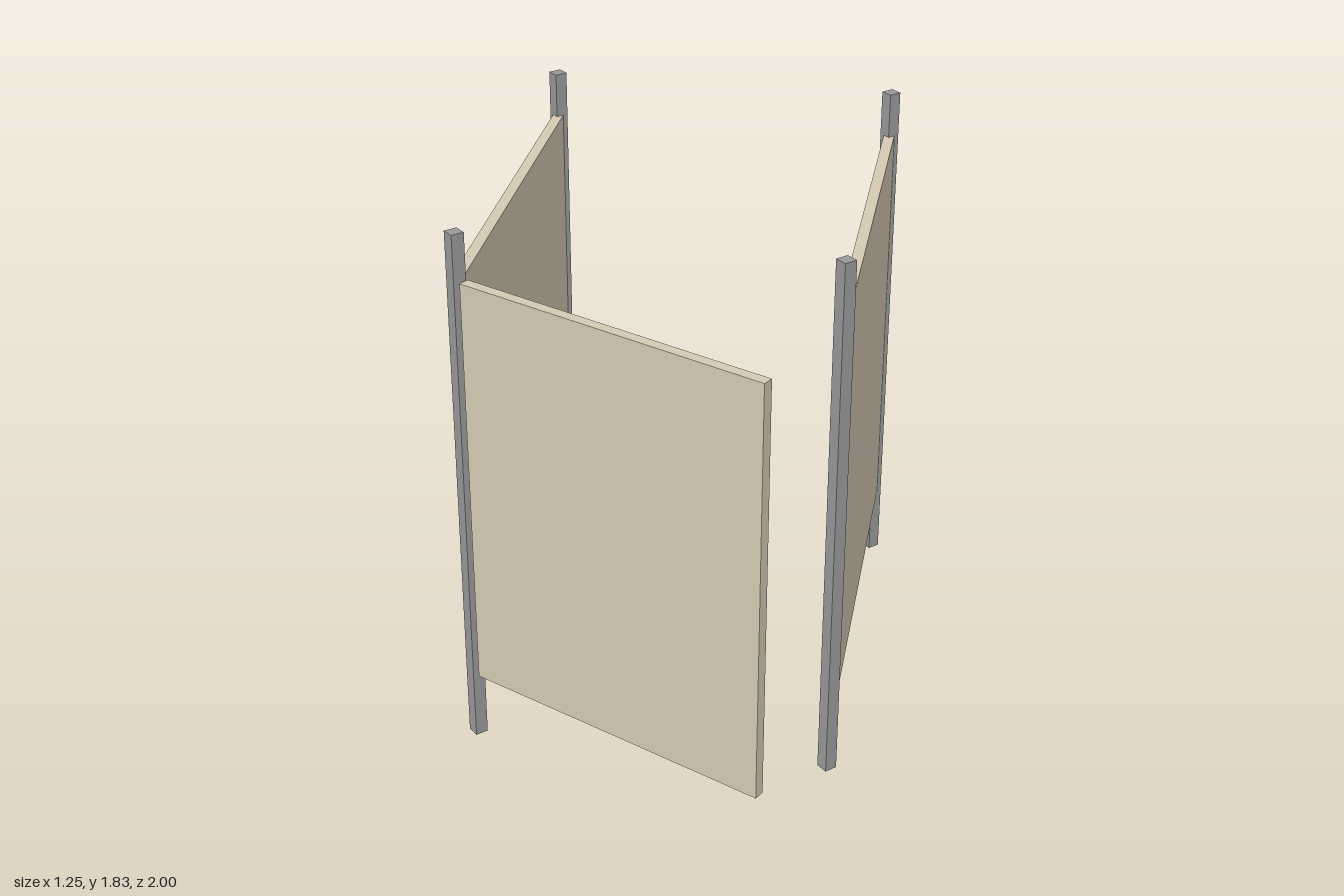
import * as THREE from 'three';

export function createModel() {
  const group = new THREE.Group();
  const panelMat = new THREE.MeshStandardMaterial({ color: 0xd4c9b3 });
  panelMat.name = 'beige panel';
  const postMat = new THREE.MeshStandardMaterial({ color: 0x999999, flatShading: true });
  postMat.name = 'grey metal';

  const postX = 0.592, postHeight = 1.83, postRadius = 0.031;
  const panelBottom = 0.245, panelHeight = 1.43, thickness = 0.037;

  function add(name, geometry, material, x, y, z) {
    const mesh = new THREE.Mesh(geometry, material);
    mesh.name = name;
    mesh.position.set(x, y, z);
    group.add(mesh);
    return mesh;
  }

  const postGeo = new THREE.CylinderGeometry(postRadius, postRadius, postHeight, 4);
  const sideGeo = new THREE.BoxGeometry(thickness, panelHeight, 1.44);
  const panelY = panelBottom + panelHeight / 2;

  // Side walls, each between two square posts set on the diagonal
  for (const [side, s] of [['left', 1], ['right', -1]]) {
    add(side + 'FrontPost', postGeo, postMat, s * postX, postHeight / 2, 0.47);
    add(side + 'BackPost', postGeo, postMat, s * postX, postHeight / 2, -0.969);
    add(side + 'Panel', sideGeo, panelMat, s * postX, panelY, -0.265);
  }

  // Door standing ajar, hinged beside the right front post
  const hinge = new THREE.Vector2(-0.564, 0.489);
  const tip = new THREE.Vector2(0.435, 0.983);
  const span = tip.clone().sub(hinge);
  const door = add('door', new THREE.BoxGeometry(span.length(), panelHeight, thickness), panelMat,
    (hinge.x + tip.x) / 2, panelY, (hinge.y + tip.y) / 2);
  door.rotation.y = -span.angle();

  return group;
}
